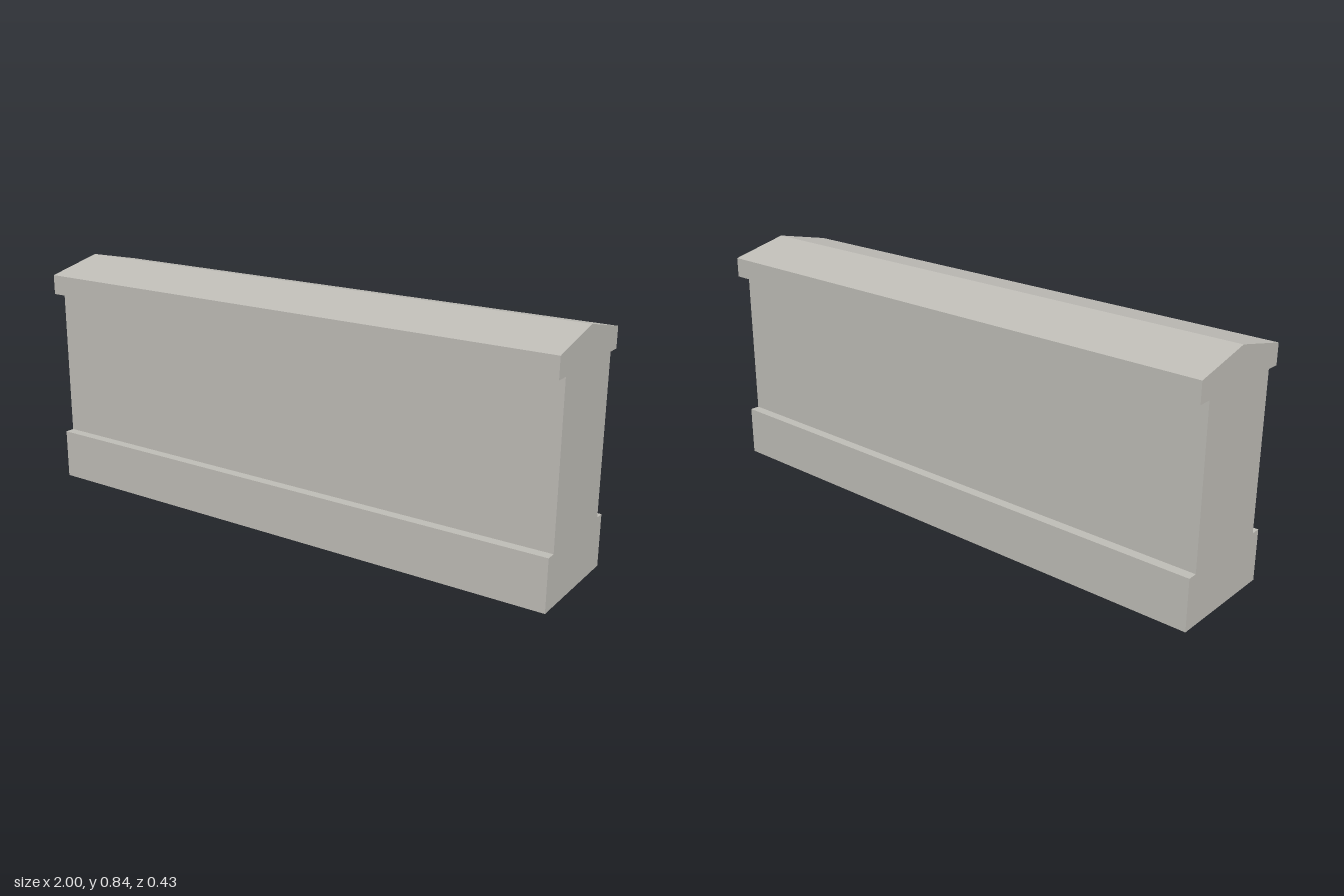
import * as THREE from 'three';

export function createModel() {
  const model = new THREE.Group();
  model.name = 'parapetWall';

  const stone = new THREE.MeshStandardMaterial({ color: 0xbdbbb5 });
  stone.name = 'pale stone';

  // Half of the cross-section, as [depth, height], from plinth to ridge
  const half = [
    [0.203, 0], [0.203, 0.18],     // plinth
    [0.168, 0.18], [0.168, 0.722], // wall
    [0.215, 0.722], [0.215, 0.793], // coping edge
  ];
  const ridge = [0, 0.841];
  const mirrored = half.map(([d, h]) => [-d, h]).reverse();
  const profile = new THREE.Shape(
    [...half, ridge, ...mirrored].map(([d, h]) => new THREE.Vector2(d, h))
  );

  // Run the section along x
  const length = 2;
  const geometry = new THREE.ExtrudeGeometry(profile, { depth: length, bevelEnabled: false });
  geometry.translate(0, 0, -length / 2);
  geometry.rotateY(Math.PI / 2);

  const wall = new THREE.Mesh(geometry, stone);
  wall.name = 'wallWithPlinthAndCoping';
  model.add(wall);
  return model;
}
